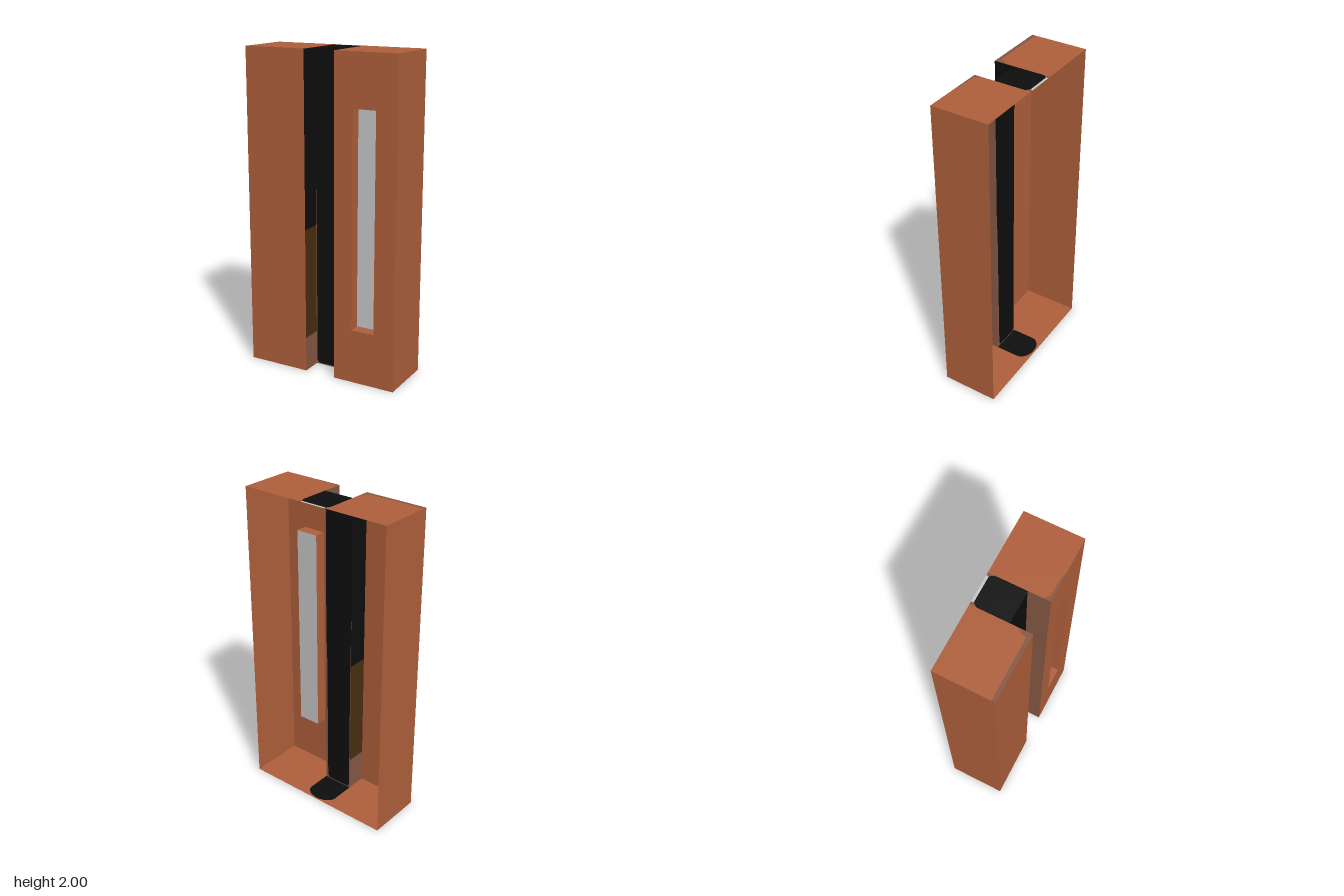
import * as THREE from 'three';

export function createModel() {
  const model = new THREE.Group();
  const mat = (name, color) => {
    const m = new THREE.MeshStandardMaterial({ color, side: THREE.DoubleSide });
    m.name = name;
    return m;
  };
  const brown = mat('terracotta', 0xb0603c);
  const black = mat('black', 0x0e0e0e);
  const grey = mat('light grey', 0xc8c8c8);
  const dull = mat('dull brown', 0x875844);
  const dark = mat('dark brown', 0x4a2e10);

  const W = 0.504, D = 0.18, H = 2;    // half width, half depth, height
  const C = 0.1, CZ = 0.05;            // channel half width and back
  const win = [0.22, 0.34, 0.37, 1.68], WZ = 0.108;

  const rect = (a, b, c, d) => [[a, b], [c, b], [c, d], [a, d]];
  const toVec = (pts) => pts.map(([u, v]) => new THREE.Vector2(u, v));

  // Flat sheet across one axis: z takes (x, y), y takes (x, z), x takes (z, y)
  function sheet(name, material, axis, at, pts, hole) {
    const shape = new THREE.Shape(toVec(pts));
    if (hole) shape.holes.push(new THREE.Path(toVec(hole)));
    const geo = new THREE.ShapeGeometry(shape);
    if (axis === 'y') geo.rotateX(Math.PI / 2);
    if (axis === 'x') geo.rotateY(-Math.PI / 2);
    const mesh = new THREE.Mesh(geo, material);
    mesh.name = name;
    mesh.position[axis] = at;
    model.add(mesh);
  }

  // Front panels and outer sides; the back is open
  sheet('frontPanelRight', brown, 'z', D, rect(-W, 0, -C, H));
  sheet('frontPanelLeft', brown, 'z', D, rect(C, 0, W, H), rect(...win));
  for (const s of [-1, 1]) sheet('outerSide', brown, 'x', s * W, rect(-D, 0, D, H));

  // Recessed window: four reveals and a pane
  const [x0, y0, x1, y1] = win;
  for (const x of [x0, x1]) sheet('windowJamb', brown, 'x', x, rect(WZ, y0, D, y1));
  for (const y of [y0, y1]) sheet('windowSill', brown, 'y', y, rect(x0, WZ, x1, D));
  sheet('windowPane', grey, 'z', WZ, rect(...win));

  // Central channel: banded right wall, plain left wall, black back with thin edges
  sheet('channelWallUpper', black, 'x', -C, rect(CZ, 0.92, D, H));
  sheet('channelWallMiddle', dark, 'x', -C, rect(CZ, 0.22, D, 0.92));
  sheet('channelWallLower', dull, 'x', -C, rect(CZ, 0, D, 0.22));
  sheet('channelWallLeft', dull, 'x', C, rect(CZ, 0, D, H));
  const left = [[-0.08, 0.006], [-0.095, 0.025], [-0.096, 0.9], [-C, 1.3], [-C, H]];
  const right = [[0.07, 0.006], [0.083, 0.025], [0.088, 0.9], [0.095, 1.1], [0.095, H]];
  sheet('channelBack', black, 'z', CZ, [...left, ...right.slice().reverse()]);
  sheet('channelEdgeRight', dull, 'z', CZ, [[-C, 0], ...left]);
  sheet('channelEdgeLeft', dull, 'z', CZ, [[C, 0], [C, H], ...right.slice().reverse()]);
  sheet('channelFoot', dull, 'z', CZ, [[-C, 0], [C, 0], right[0], left[0]]);

  // Top cap, with worn front edges and a dark strip over the channel
  sheet('topRight', brown, 'y', H,
    [[-W, -D], [-C, -D], [-C, 0.1], [-0.12, 0.12], [-0.13, 0.157], [-W, 0.157]]);
  sheet('topRightWornEdge', dull, 'y', H,
    [[-C, 0.1], [-C, D], [-W, D], [-W, 0.157], [-0.13, 0.157], [-0.12, 0.12]]);
  sheet('topLeft', brown, 'y', H,
    [[C, -D], [W, -D], [W, D], [0.28, D], [0.26, 0.17], [0.13, 0.165], [C, 0.14]]);
  sheet('topLeftWornEdge', dull, 'y', H,
    [[C, 0.14], [0.13, 0.165], [0.26, 0.17], [0.28, D], [C, D]]);
  sheet('topStrip', black, 'y', H,
    [[-C, CZ], [C, CZ], [C, -0.14], [0.082, -0.165], [-0.082, -0.165], [-C, -0.14]]);
  sheet('topBackStrip', grey, 'y', H, rect(-0.082, -D, 0.082, -0.165));
  for (const s of [-1, 1])
    sheet('topStripCorner', dull, 'y', H,
      [[s * 0.082, -D], [s * C, -D], [s * C, -0.14], [s * 0.082, -0.165]]);

  // Bottom cap, with a round-ended dark strip
  const arc = [];
  for (let i = 0; i <= 12; i++) {
    const a = (i / 12) * Math.PI;
    arc.push([C * Math.cos(a), -0.1 - 0.07 * Math.sin(a)]);
  }
  sheet('bottomStrip', black, 'y', 0, [[-C, CZ], [C, CZ], ...arc]);
  sheet('bottomCap', brown, 'y', 0,
    [[W, -D], [W, D], [C, D], [C, CZ], ...arc, [-C, CZ], [-C, D], [-W, D], [-W, -D]]);

  return model;
}
